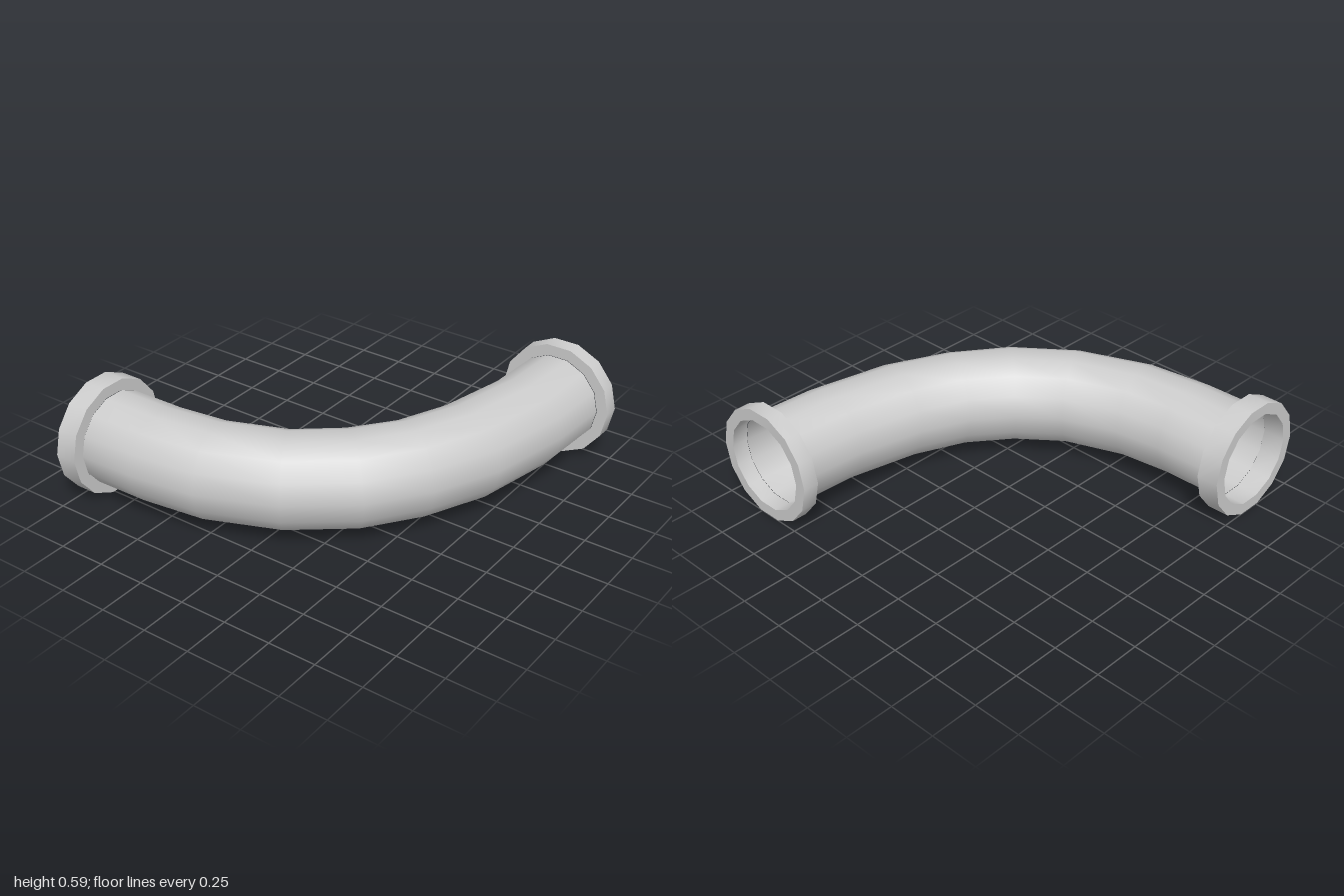
import * as THREE from 'three';
import { toCreasedNormals } from 'three/addons/utils/BufferGeometryUtils.js';

const SIDES = 14;
const AXIS_Y = 0.297;
const BORE = 0.245;
const RIM = 0.305;

// Mitred pipe sections in plan: [outer x, outer z, inner x, inner z]
const SECTIONS = [
  [-0.94, -0.885, -0.45, -0.885],
  [-0.935, -0.59, -0.447, -0.59],
  [-0.89, -0.23, -0.417, -0.35],
  [-0.73, 0.16, -0.315, -0.075],
  [-0.49, 0.47, -0.165, 0.11],
  [-0.205, 0.675, 0.02, 0.26],
  [0.13, 0.83, 0.26, 0.36],
  [0.58, 0.92, 0.60, 0.435],
  [0.915, 0.938, 0.915, 0.45],
];

// Open bent tube skinned over the sections
function pipeGeometry() {
  const positions = [], index = [];
  SECTIONS.forEach(([ox, oz, ix, iz], s) => {
    const cx = (ox + ix) / 2, cz = (oz + iz) / 2;
    const hx = (ox - ix) / 2, hz = (oz - iz) / 2;
    for (let i = 0; i < SIDES; i++) {
      const t = (i / SIDES) * Math.PI * 2;
      positions.push(cx + hx * Math.cos(t), AXIS_Y + 0.243 * Math.sin(t), cz + hz * Math.cos(t));
      if (s < SECTIONS.length - 1) {
        const j = (i + 1) % SIDES;
        const a = s * SIDES + i, b = a + SIDES, d = s * SIDES + j, c = d + SIDES;
        index.push(a, b, d, b, c, d);
      }
    }
  });
  const geometry = new THREE.BufferGeometry();
  geometry.setAttribute('position', new THREE.Float32BufferAttribute(positions, 3));
  geometry.setIndex(index);
  geometry.computeVertexNormals();
  return geometry;
}

// Square-edged collar with its axis along z, centred on the origin
function collarGeometry(depth) {
  const h = depth / 2;
  const profile = [[BORE, -h], [RIM, -h], [RIM, h], [BORE, h], [BORE, -h]]
    .map(([x, y]) => new THREE.Vector2(x, y));
  const lathe = new THREE.LatheGeometry(profile, SIDES, Math.PI / 2);
  lathe.rotateX(Math.PI / 2);
  return toCreasedNormals(lathe, 0.7);
}

export function createModel() {
  const group = new THREE.Group();
  group.name = 'pipeElbow';
  const material = new THREE.MeshStandardMaterial({ color: 0xcccccc, side: THREE.DoubleSide });

  const pipe = new THREE.Mesh(pipeGeometry(), material);
  pipe.name = 'bentPipe';
  group.add(pipe);

  // Collar at the rear opening
  const rear = new THREE.Mesh(collarGeometry(0.115), material);
  rear.name = 'rearCollar';
  rear.position.set(-0.695, AXIS_Y, -0.9425);
  group.add(rear);

  // Collar at the side opening
  const side = new THREE.Mesh(collarGeometry(0.085), material);
  side.name = 'sideCollar';
  side.rotation.y = Math.PI / 2;
  side.position.set(0.9575, AXIS_Y, 0.695);
  group.add(side);

  return group;
}
